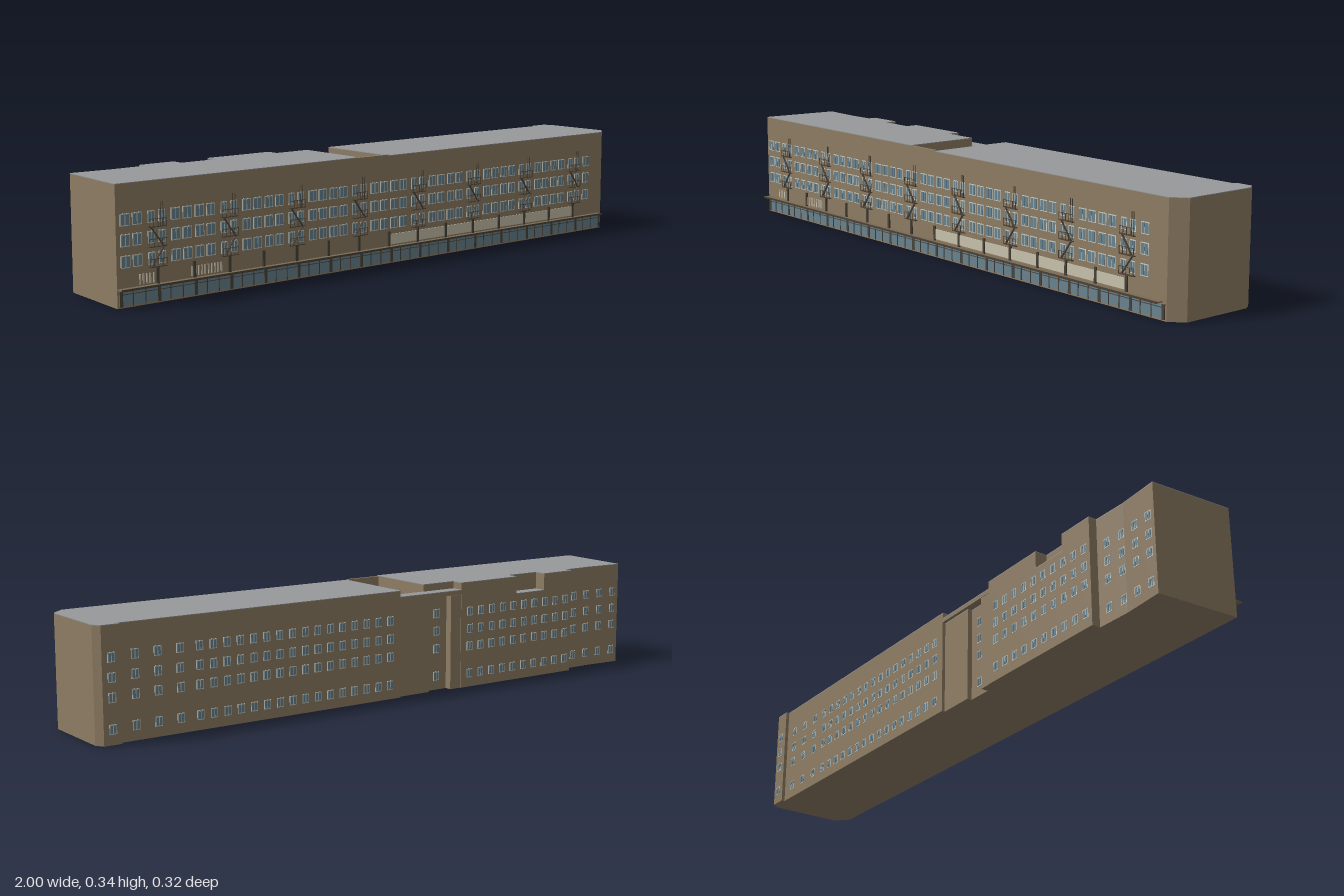
import * as THREE from 'three';
import { mergeGeometries } from 'three/addons/utils/BufferGeometryUtils.js';

const mat = (name, color) => {
  const m = new THREE.MeshStandardMaterial({ color });
  m.name = name;
  return m;
};

export function createModel() {
  const group = new THREE.Group();
  const wall = mat('brown wall', 0x8f7d64);
  const roofGrey = mat('roof grey', 0x97999b);
  const glass = mat('window glass', 0x68838f);
  const frame = mat('window frame', 0xc9cdc4);
  const cream = mat('cream panel', 0xc9c2ad);
  const iron = mat('dark iron', 0x4a4238);
  const canopyBrown = mat('canopy brown', 0x7d6a52);

  const add = (name, geo, material) => {
    const m = new THREE.Mesh(geo, material);
    m.name = name;
    group.add(m);
  };
  // box given by its limits
  const box = (x0, x1, y0, y1, z0, z1) =>
    new THREE.BoxGeometry(x1 - x0, y1 - y0, z1 - z0)
      .translate((x0 + x1) / 2, (y0 + y1) / 2, (z0 + z1) / 2);
  const addAll = (name, list, material) => add(name, mergeGeometries(list), material);
  // upright block over an [x, z] outline
  const prism = (pts, y0, y1) => {
    const shape = new THREE.Shape(pts.map(([x, z]) => new THREE.Vector2(x, -z)));
    return new THREE.ExtrudeGeometry(shape, { depth: y1 - y0, bevelEnabled: false })
      .rotateX(-Math.PI / 2).translate(0, y0, 0);
  };
  const block = (name, pts, h) => {
    add(name, prism(pts, 0, h - 0.002), wall);
    add(name + 'Roof', prism(pts, h - 0.002, h), roofGrey);
  };
  const rect = (x0, x1, z0, z1) => [[x0, z1], [x1, z1], [x1, z0], [x0, z0]];

  // main wings
  block('rightWing', [[-0.03, 0.137], [0.96, 0.137], [1, 0.1], [1, -0.134],
    [0.985, -0.158], [0.93, -0.158], [0.93, -0.147], [-0.03, -0.147]], 0.334);
  block('leftWing', [[-1, 0.137], [-0.15, 0.137], [-0.15, -0.107], [-0.27, -0.107],
    [-0.27, -0.147], [-0.5, -0.147], [-0.5, -0.107], [-0.62, -0.107], [-0.62, -0.147],
    [-0.74, -0.147], [-0.74, -0.12], [-0.85, -0.117], [-0.98, -0.125]], 0.338);

  // light well between the wings, rear recess and terrace
  add('wellFrontWall', box(-0.15, -0.03, 0, 0.336, 0.128, 0.137), wall);
  add('wellFloor', box(-0.15, -0.03, 0, 0.04, -0.1, 0.128), wall);
  block('wellRearPanel', rect(-0.15, -0.03, -0.137, -0.1), 0.3);
  block('rearRecess', rect(-0.23, -0.15, -0.122, -0.107), 0.3);
  block('rearPier', rect(-0.27, -0.23, -0.145, -0.107), 0.3);
  add('rearSlab', box(-0.27, -0.03, 0.3, 0.313, -0.147, -0.105), wall);
  add('rearSlabTop', box(-0.27, -0.03, 0.313, 0.315, -0.147, -0.105), roofGrey);
  block('terrace', rect(-0.62, -0.5, -0.147, -0.107), 0.283);

  // windows: frame plate with panes; dir is the way the wall faces
  const frames = [], panes = [];
  const addWindow = (x, y0, y1, w, z, dir) => {
    const plate = (a, b, c, d, t) => box(a, b, c, d, Math.min(z, z + dir * t), Math.max(z, z + dir * t));
    frames.push(plate(x - w / 2, x + w / 2, y0, y1, 0.0015));
    const g = 0.0025, pw = (w - 3 * g) / 2;
    for (const s of [-1, 1]) {
      const c = x + s * (pw + g) / 2;
      panes.push(plate(c - pw / 2, c + pw / 2, y0 + g, y1 - g, 0.0025));
    }
  };

  // front windows, fire escapes in eight bays
  const irons = [];
  const rows = [[0.108, 0.142], [0.166, 0.2], [0.222, 0.256]];
  const levels = [0.1, 0.155, 0.21];
  const bar = (xa, ya, xb, yb, z, t) => {
    const len = Math.hypot(xb - xa, yb - ya);
    return new THREE.BoxGeometry(len, t, t).rotateZ(Math.atan2(yb - ya, xb - xa))
      .translate((xa + xb) / 2, (ya + yb) / 2, z);
  };
  for (let i = 0; i < 8; i++) {
    const c = -0.872 + i * 0.241;
    for (const [y0, y1] of rows) {
      for (const dx of [-0.1, -0.062, -0.017, 0.017, 0.062, 0.1]) {
        const x = c + dx;
        if (x < 0.91) addWindow(x, y0, y1, Math.abs(dx) < 0.02 ? 0.022 : 0.03, 0.137, 1);
      }
    }
    levels.forEach((y, k) => {
      const a = c - 0.028, b = c + 0.028;
      irons.push(box(a, b, y, y + 0.002, 0.137, 0.146));
      irons.push(box(a, b, y + 0.022, y + 0.0235, 0.1445, 0.146));
      for (let p = 0; p < 5; p++) {
        const x = a + p * 0.0137;
        irons.push(box(x, x + 0.0012, y, y + 0.022, 0.1445, 0.146));
      }
      const s = k % 2 ? -1 : 1;
      if (k < 2) {
        for (const z of [0.14, 0.144]) irons.push(bar(c - s * 0.02, y, c + s * 0.02, y + 0.055, z, 0.002));
      }
    });
    // ladder to the roof
    for (const dx of [0.012, 0.02]) irons.push(box(c + dx, c + dx + 0.0015, 0.21, 0.277, 0.138, 0.14));
  }
  addAll('fireEscapes', irons, iron);

  // rear windows: column start, end, pitch and wall position
  const rearRows = [[0.03, 0.058], [0.118, 0.146], [0.174, 0.202], [0.23, 0.258]];
  const rear = [[0.957, 0.957, 1, -0.158], [0.74, 0.88, 0.07, -0.147], [0.01, 0.68, 0.0445, -0.147],
    [-0.19, -0.19, 1, -0.122], [-0.715, -0.3, 0.0455, -0.147], [-0.955, -0.78, 0.058, -0.1195]];
  for (const [x0, x1, step, z] of rear) {
    for (let x = x0; x <= x1 + 0.001; x += step) {
      // follow the slight bend of the far end wall
      const zz = x > -0.76 ? z : x < -0.85 ? -0.117 + (x + 0.85) * 0.0615 : -0.12 + (-0.74 - x) * 0.027;
      for (const [y0, y1] of rearRows) addWindow(x, y0, y1, 0.023, zz, -1);
    }
  }
  addAll('windowFrames', frames, frame);
  addAll('windowPanes', panes, glass);

  // shop front under the canopy
  add('shopGlass', box(-0.995, 0.95, 0.006, 0.046, 0.137, 0.139), glass);
  const mullions = [box(-0.995, 0.95, 0.036, 0.038, 0.137, 0.1405)];
  for (let i = 0; i <= 48; i++) {
    const x = -0.994 + i * 0.0404;
    const w = i % 3 ? 0.003 : 0.01;
    mullions.push(box(x, x + w, 0.004, 0.046, 0.137, 0.1405));
  }
  addAll('shopMullions', mullions, iron);

  // canopy with brackets
  add('canopy', box(-1, 0.945, 0.05, 0.0535, 0.137, 0.158), canopyBrown);
  add('canopyEdge', box(-1, 0.945, 0.049, 0.055, 0.158, 0.16), iron);
  const posts = [];
  for (let i = 0; i < 15; i++) {
    const x = -0.872 + i * 0.1203;
    posts.push(box(x - 0.004, x + 0.004, 0.053, 0.1, 0.137, 0.142));
  }
  addAll('canopyPosts', posts, iron);

  // cream sign band and small pale railings above the canopy
  add('creamBand', box(-0.03, 0.81, 0.058, 0.09, 0.137, 0.1395), cream);
  const rails = [];
  for (const [a, b] of [[-0.93, -0.87], [-0.76, -0.65]]) {
    for (let x = a; x < b; x += 0.011) rails.push(box(x, x + 0.004, 0.058, 0.086, 0.137, 0.139));
  }
  addAll('paleRailings', rails, cream);

  return group;
}
